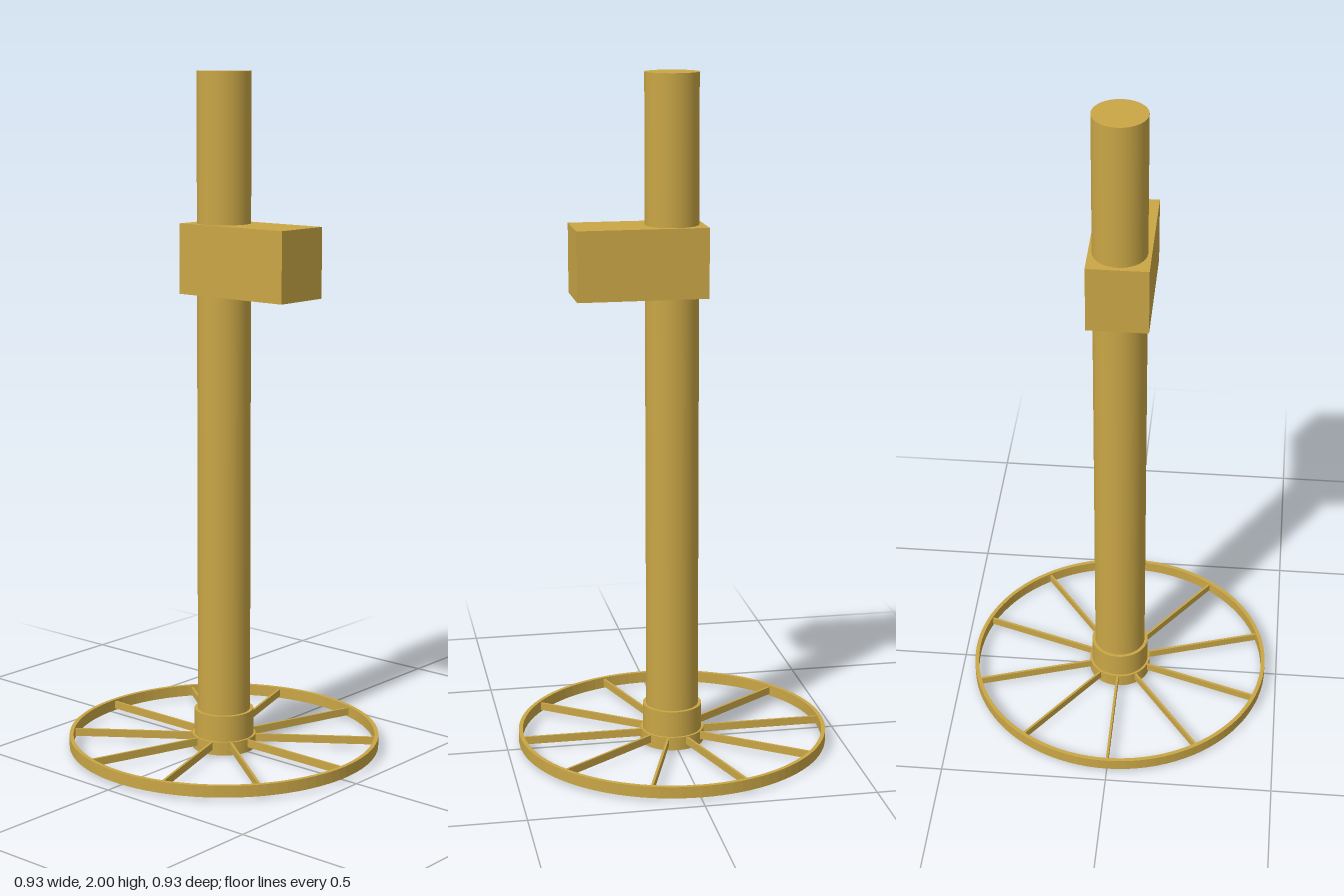
import * as THREE from 'three';

const SEGMENTS = 64;
const material = new THREE.MeshStandardMaterial({ color: 0xc9a646 });

function addMesh(parent, name, geometry, x = 0, y = 0, z = 0) {
  const mesh = new THREE.Mesh(geometry, material);
  mesh.name = name;
  mesh.position.set(x, y, z);
  parent.add(mesh);
  return mesh;
}

// Upright cylinder spanning bottom to top
function addCylinder(parent, name, radius, bottom, top) {
  const geometry = new THREE.CylinderGeometry(radius, radius, top - bottom, SEGMENTS);
  return addMesh(parent, name, geometry, 0, (bottom + top) / 2, 0);
}

// Flat band with square edges, lying in the ground plane
function ringGeometry(inner, outer, height) {
  const shape = new THREE.Shape().absarc(0, 0, outer, 0, Math.PI * 2, false);
  shape.holes.push(new THREE.Path().absarc(0, 0, inner, 0, Math.PI * 2, true));
  const geometry = new THREE.ExtrudeGeometry(shape, { depth: height, bevelEnabled: false, curveSegments: 48 });
  return geometry.rotateX(-Math.PI / 2);
}

export function createModel() {
  const model = new THREE.Group();
  model.name = 'wheelStand';

  // Post and the block clamped round it, offset to the model's left
  addCylinder(model, 'post', 0.078, 0.03, 2);
  addMesh(model, 'block', new THREE.BoxGeometry(0.38, 0.203, 0.178), 0.098, 1.467, 0);

  // Spoked wheel base
  const wheel = new THREE.Group();
  wheel.name = 'wheelBase';
  model.add(wheel);
  addCylinder(wheel, 'hub', 0.095, 0, 0.04);
  addCylinder(wheel, 'collar', 0.088, 0.03, 0.118);
  addMesh(wheel, 'rim', ringGeometry(0.451, 0.463, 0.034), 0, 0.01, 0);

  // Spokes run from inside the hub into the rim
  const spokeCount = 10;
  const inner = 0.085, outer = 0.455;
  const spokeGeometry = new THREE.BoxGeometry(outer - inner, 0.023, 0.007);
  spokeGeometry.translate((inner + outer) / 2, 0, 0);
  for (let i = 0; i < spokeCount; i++) {
    const spoke = addMesh(wheel, 'spoke', spokeGeometry, 0, 0.027, 0);
    spoke.rotation.y = (i / spokeCount) * Math.PI * 2;
  }
  return model;
}
